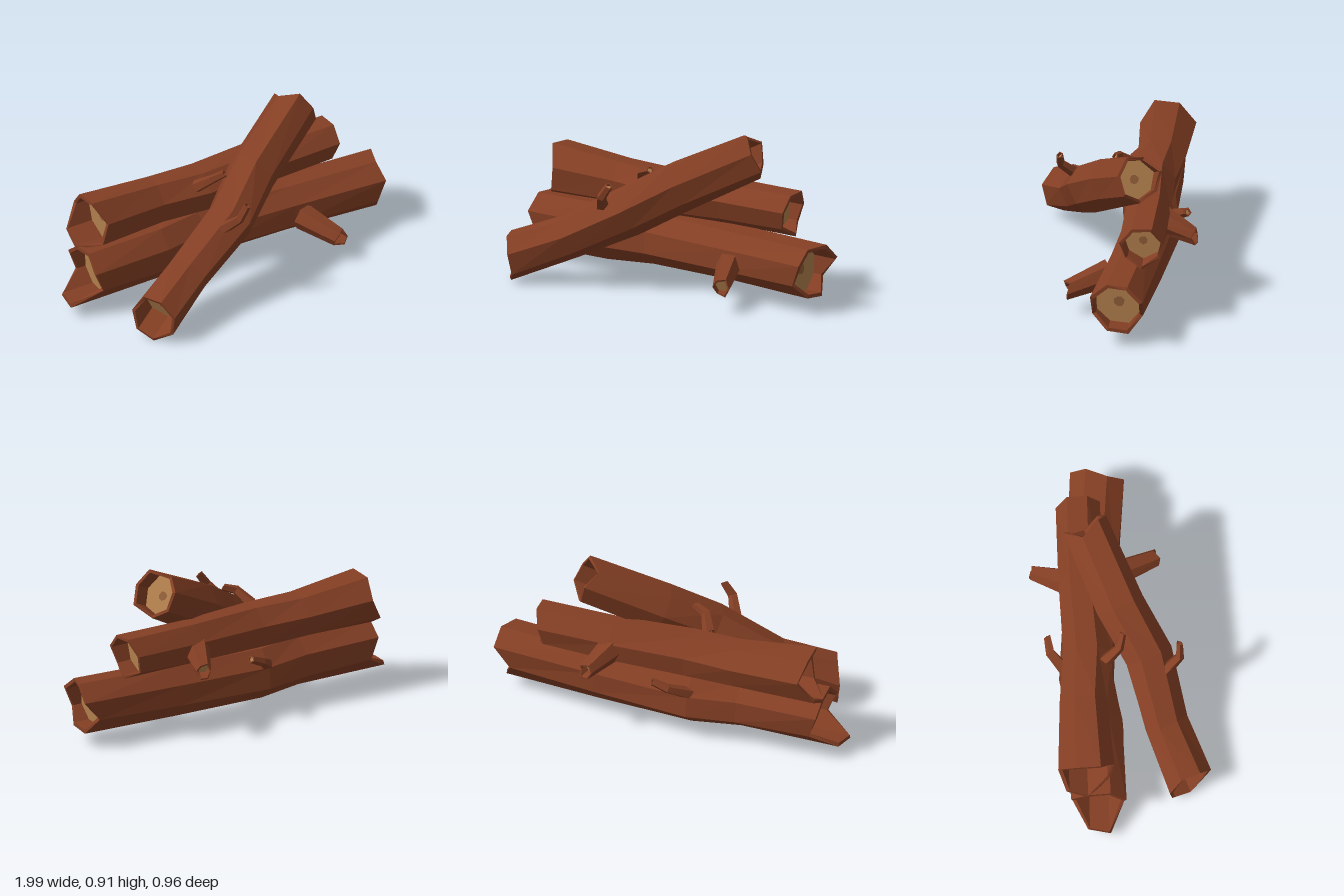
import * as THREE from 'three';

const paint = (color) => new THREE.MeshStandardMaterial({ color, flatShading: true });
const bark = paint(0x843f24);
const wood = paint(0xb07e4c);
const heart = paint(0x8f5c37);

// Skin a list of equally sized closed rings
function loft(rings, material, name) {
  const n = rings[0].length, pos = [], idx = [];
  rings.forEach((ring) => ring.forEach((p) => pos.push(p.x, p.y, p.z)));
  for (let i = 0; i < rings.length - 1; i++) {
    for (let j = 0; j < n; j++) {
      const a = i * n + j, b = i * n + (j + 1) % n;
      idx.push(a, b, a + n, b, b + n, a + n);
    }
  }
  const g = new THREE.BufferGeometry();
  g.setAttribute('position', new THREE.Float32BufferAttribute(pos, 3));
  g.setIndex(idx);
  g.computeVertexNormals();
  const mesh = new THREE.Mesh(g, material);
  mesh.name = name;
  return mesh;
}

// Irregular log through stations [x, y, z, radius], hollow at both ends.
// A splinter is [first rim corner, length]; corners count from the top towards the front.
function makeLog(name, stations, { sides, depth, lip, seed, ragged = 0, splinterStart = [0, 0], splinterEnd = [0, 0] }) {
  const group = new THREE.Group();
  group.name = name;
  const pts = stations.map(([x, y, z]) => new THREE.Vector3(x, y, z));
  const last = pts.length - 1;
  const t = pts[last].clone().sub(pts[0]).normalize();
  const v = t.clone().cross(new THREE.Vector3(0, 1, 0)).normalize();
  const u = v.clone().cross(t);

  const ring = (i, scale, offset) => Array.from({ length: sides }, (_, j) => {
    const a = (j + 0.5) / sides * Math.PI * 2;
    const r = stations[i][3] * scale * (1 + 0.05 * Math.sin(j * 2.4 + seed + i * 1.1));
    return pts[i].clone().addScaledVector(u, r * Math.cos(a))
      .addScaledVector(v, r * Math.sin(a)).addScaledVector(t, offset(j));
  });
  const flat = (d) => () => d;
  const jag = ([corner, length], j) => {
    const step = (j - corner + sides) % sides;
    return step < 2 ? length * (1 - 0.15 * step) : ragged * Math.sin(j * 2.1 + seed);
  };
  const start = (j) => -jag(splinterStart, j);
  const end = (j) => jag(splinterEnd, j);

  // Bark runs from the inner wall of one end over the outside to the other
  group.add(loft([
    ring(0, lip, flat(depth)), ring(0, lip, start), ring(0, 1, start),
    ...pts.slice(1, last).map((_, i) => ring(i + 1, 1, flat(0))),
    ring(last, 1, end), ring(last, lip, end), ring(last, lip, flat(-depth)),
  ], bark, 'bark'));

  // Recessed cut faces with a darker heart on the thick logs
  const disc = (scale, d, material, label) => {
    group.add(loft([ring(0, 0, flat(d)), ring(0, scale, flat(d))], material, label));
    group.add(loft([ring(last, scale, flat(-d)), ring(last, 0, flat(-d))], material, label));
  };
  disc(lip, depth, wood, 'cutFace');
  if (sides > 6) disc(0.2, depth - 0.003, heart, 'heartwood');
  return group;
}

export function createModel() {
  const model = new THREE.Group();
  model.name = 'logPile';

  // Three main logs
  const thick = { sides: 7, depth: 0.08, lip: 0.86, ragged: 0.03 };
  model.add(makeLog('lowerLog',
    [[-0.87, 0.225, -0.125, 0.158], [-0.42, 0.225, -0.13, 0.156], [-0.15, 0.222, -0.178, 0.153],
      [0.4, 0.225, -0.145, 0.15], [0.93, 0.23, -0.1, 0.153]],
    { ...thick, sides: 8, seed: 0.4, splinterStart: [3, 0.13], splinterEnd: [6, 0.06] }));
  model.add(makeLog('upperLog',
    [[-0.8, 0.5, -0.185, 0.155], [-0.4, 0.49, -0.195, 0.132], [-0.12, 0.485, -0.175, 0.134],
      [0.3, 0.49, -0.205, 0.125], [0.71, 0.495, -0.21, 0.122]],
    { ...thick, seed: 2, splinterStart: [3, 0.09], splinterEnd: [0, 0.03] }));
  model.add(makeLog('leaningLog',
    [[-0.73, 0.15, 0.36, 0.132], [-0.45, 0.265, 0.24, 0.122], [-0.12, 0.445, 0.15, 0.135],
      [0.12, 0.595, 0.005, 0.137], [0.49, 0.79, -0.165, 0.13]],
    { ...thick, seed: 4, splinterStart: [3, 0.08], splinterEnd: [0, 0.03] }));

  // Broken side branches
  const branch = { sides: 6, depth: 0.03, lip: 0.78, ragged: 0.01, seed: 1 };
  model.add(makeLog('frontBranch',
    [[0.44, 0.205, -0.01, 0.073], [0.545, 0.143, 0.205, 0.05]], { ...branch, splinterEnd: [3, 0.03] }));
  model.add(makeLog('backBranch',
    [[0.29, 0.475, -0.25, 0.08], [0.375, 0.415, -0.455, 0.043]], { ...branch, splinterEnd: [2, 0.03] }));

  // Small crooked twigs: root, elbow, tip
  const twig = (name, root, elbow, tip) => model.add(makeLog(name,
    [[...root, 0.037], [...elbow, 0.026], [...tip, 0.021]], { sides: 5, depth: 0.015, lip: 0.7, seed: 0 }));
  twig('leaningLogTwig', [-0.23, 0.46, 0.23], [-0.17, 0.555, 0.325], [-0.12, 0.625, 0.325]);
  twig('upperLogTwig', [-0.19, 0.56, -0.08], [-0.14, 0.63, 0], [-0.07, 0.655, 0.02]);
  twig('lowerLogTwig', [-0.16, 0.28, -0.27], [-0.06, 0.35, -0.37], [0.02, 0.385, -0.385]);
  return model;
}
